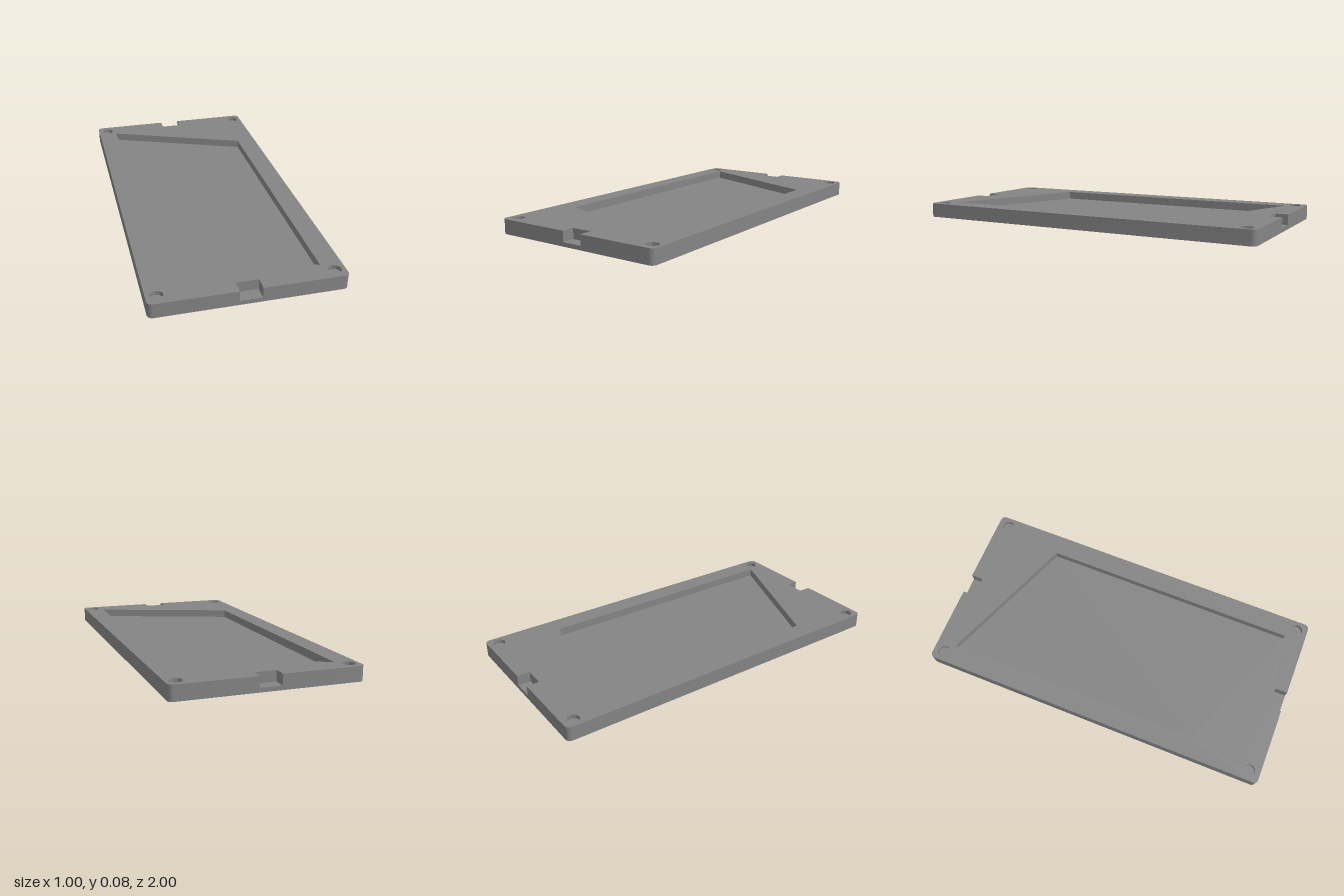
import * as THREE from 'three';
import { mergeGeometries, toCreasedNormals } from 'three/addons/utils/BufferGeometryUtils.js';

const HALF_W = 0.5, HALF_L = 1, TOP = 0.08, CORNER = 0.027;
const NOTCH_W = 0.058, NOTCH_L = 0.07, NOTCH_Y = 0.023;
const RECESS_Y = 0.035, HOLE_Y = 0.058, HOLE_R = 0.034, HOLE_SIDES = 10;

const material = new THREE.MeshStandardMaterial({ color: 0x848484 });
const v = (x, y) => new THREE.Vector2(x, y);

// Outlines run counter-clockwise in plan; plan y becomes -z.
function holeOutline(cx, cy) {
  return Array.from({ length: HOLE_SIDES }, (_, i) => {
    const a = Math.PI / 2 + (i / HOLE_SIDES) * Math.PI * 2;
    return v(cx + HOLE_R * Math.cos(a), cy + HOLE_R * Math.sin(a));
  });
}

// Rounded plate outline, with or without the notches in its two short ends
function plateOutline(notched) {
  const pts = [];
  const corners = [[1, 1], [-1, 1], [-1, -1], [1, -1]];
  corners.forEach(([sx, sy], q) => {
    for (let i = 0; i <= 6; i++) {
      const a = (q + i / 6) * Math.PI / 2;
      pts.push(v(sx * (HALF_W - CORNER) + CORNER * Math.cos(a), sy * (HALF_L - CORNER) + CORNER * Math.sin(a)));
    }
    if (notched && q % 2 === 0) {
      pts.push(...notchOutline(sx));
    }
  });
  return pts;
}

function notchOutline(s) {
  const inner = HALF_L - NOTCH_L;
  return [[NOTCH_W, HALF_L], [NOTCH_W, inner], [-NOTCH_W, inner], [-NOTCH_W, HALF_L]]
    .map(([x, y]) => v(s * x, s * y));
}

// Flat face at height y
function cap(points, y, holes = [], down = false) {
  const shape = new THREE.Shape(points);
  shape.holes = holes.map((h) => new THREE.Path(h));
  return new THREE.ShapeGeometry(shape).rotateX(down ? Math.PI / 2 : -Math.PI / 2).translate(0, y, 0).toNonIndexed();
}

// Upright band along an outline; inward turns it to face the middle
function wall(points, y0, y1, inward = false) {
  const pos = [], uv = [];
  const loop = inward ? [...points].reverse() : points;
  loop.forEach((a, i) => {
    const b = loop[(i + 1) % loop.length];
    const quad = [[a, y0], [b, y0], [b, y1], [a, y0], [b, y1], [a, y1]];
    for (const [p, y] of quad) {
      pos.push(p.x, y, -p.y);
      uv.push(0, 0);
    }
  });
  const g = new THREE.BufferGeometry();
  g.setAttribute('position', new THREE.Float32BufferAttribute(pos, 3));
  g.setAttribute('uv', new THREE.Float32BufferAttribute(uv, 2));
  g.computeVertexNormals();
  return g;
}

function part(name, geometries) {
  const mesh = new THREE.Mesh(toCreasedNormals(mergeGeometries(geometries), 0.6), material);
  mesh.name = name;
  return mesh;
}

export function createModel() {
  const group = new THREE.Group();
  group.name = 'recessedPlate';

  const plain = plateOutline(false);
  const notched = plateOutline(true);
  const recess = [v(-0.39, -0.58), v(0.387, -0.887), v(0.387, 0.583), v(-0.39, 0.89)];
  const holes = [];
  for (const sx of [-1, 1]) {
    for (const sy of [-1, 1]) holes.push(holeOutline(sx * 0.445, sy * 0.937));
  }

  // Plate body: underside, rim and pierced top
  group.add(part('plate', [
    cap(plain, 0, [], true),
    wall(plain, 0, NOTCH_Y),
    wall(notched, NOTCH_Y, TOP),
    cap(notched, TOP, [recess, ...holes]),
  ]));

  // Ledges at the bottom of the end notches
  for (const s of [1, -1]) {
    group.add(part(s > 0 ? 'backNotchFloor' : 'frontNotchFloor', [cap(notchOutline(s), NOTCH_Y)]));
  }

  // Slanted tray sunk into the top
  group.add(part('recess', [wall(recess, RECESS_Y, TOP, true), cap(recess, RECESS_Y)]));

  // Faceted blind holes in the corners
  for (const h of holes) {
    group.add(part('cornerHole', [wall(h, HOLE_Y, TOP, true), cap(h, HOLE_Y)]));
  }
  return group;
}
